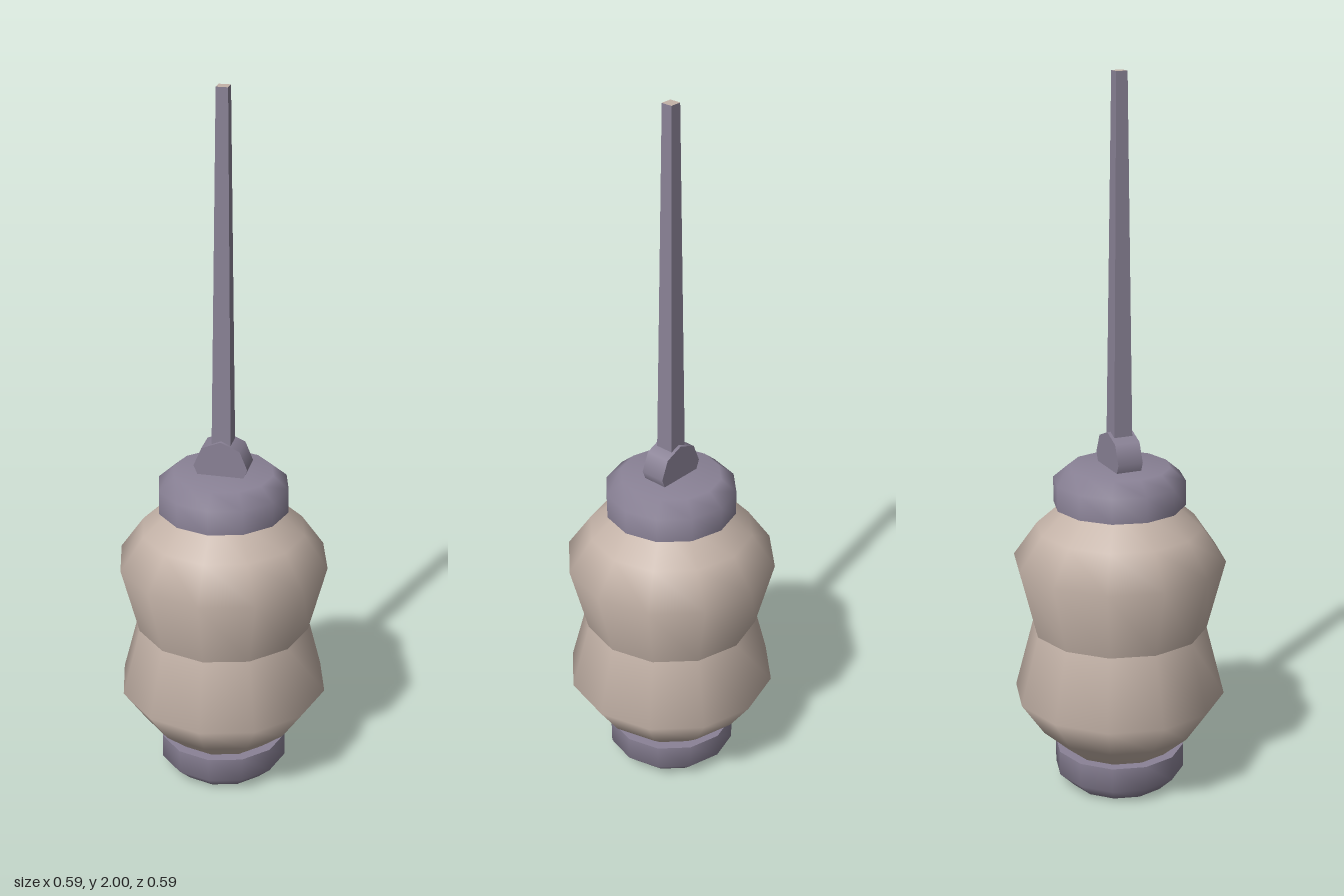
import * as THREE from 'three';

export function createModel() {
  const group = new THREE.Group();
  const metal = new THREE.MeshStandardMaterial({ color: 0x8a8296 });
  metal.name = 'purple grey metal';
  const paper = new THREE.MeshStandardMaterial({ color: 0xc4b3a8 });
  paper.name = 'warm beige paper';

  const add = (name, geometry, material, parent = group) => {
    const mesh = new THREE.Mesh(geometry, material);
    mesh.name = name;
    parent.add(mesh);
    return mesh;
  };
  const lathe = (points) =>
    new THREE.LatheGeometry(points.map(([r, y]) => new THREE.Vector2(r, y)), 12);

  // Lantern body: two bulges meeting in a sharp waist
  add('lowerBody', lathe([[0.14, 0.1], [0.23, 0.18], [0.296, 0.275], [0.245, 0.472]]), paper);
  add('upperBody', lathe([[0.245, 0.472], [0.296, 0.67], [0.23, 0.765], [0.14, 0.845]]), paper);

  // End caps: softly bevelled outside, sharp rim towards the body
  const makeCap = (name, profile, rimY, tilt) => {
    const cap = new THREE.Group();
    cap.name = name;
    add(name + 'Shell', lathe(profile), metal, cap);
    const rim = add(name + 'Rim', new THREE.CircleGeometry(0.183, 12).rotateX(tilt), metal, cap);
    rim.position.y = rimY;
    group.add(cap);
  };
  makeCap('topCap', [[0.183, 0.83], [0.183, 0.9], [0.14, 0.937], [0, 0.937]], 0.83, Math.PI / 2);
  makeCap('bottomCap', [[0, 0], [0.14, 0], [0.183, 0.042], [0.183, 0.112]], 0.112, -Math.PI / 2);

  // Eight-sided hanging lug, half sunk into the top cap
  const lug = add('hangingLug', new THREE.CylinderGeometry(0.075, 0.075, 0.072, 8).rotateX(Math.PI / 2), metal);
  lug.position.y = 0.962;

  // Tapered square rod with a light end face
  const rodGeometry = new THREE.CylinderGeometry(0.016 * Math.SQRT2, 0.027 * Math.SQRT2, 1.02, 4)
    .rotateY(Math.PI / 4).toNonIndexed();
  rodGeometry.computeVertexNormals();
  const rod = add('hangingRod', rodGeometry, [metal, paper, metal]);
  rod.position.y = 1.49;

  return group;
}
